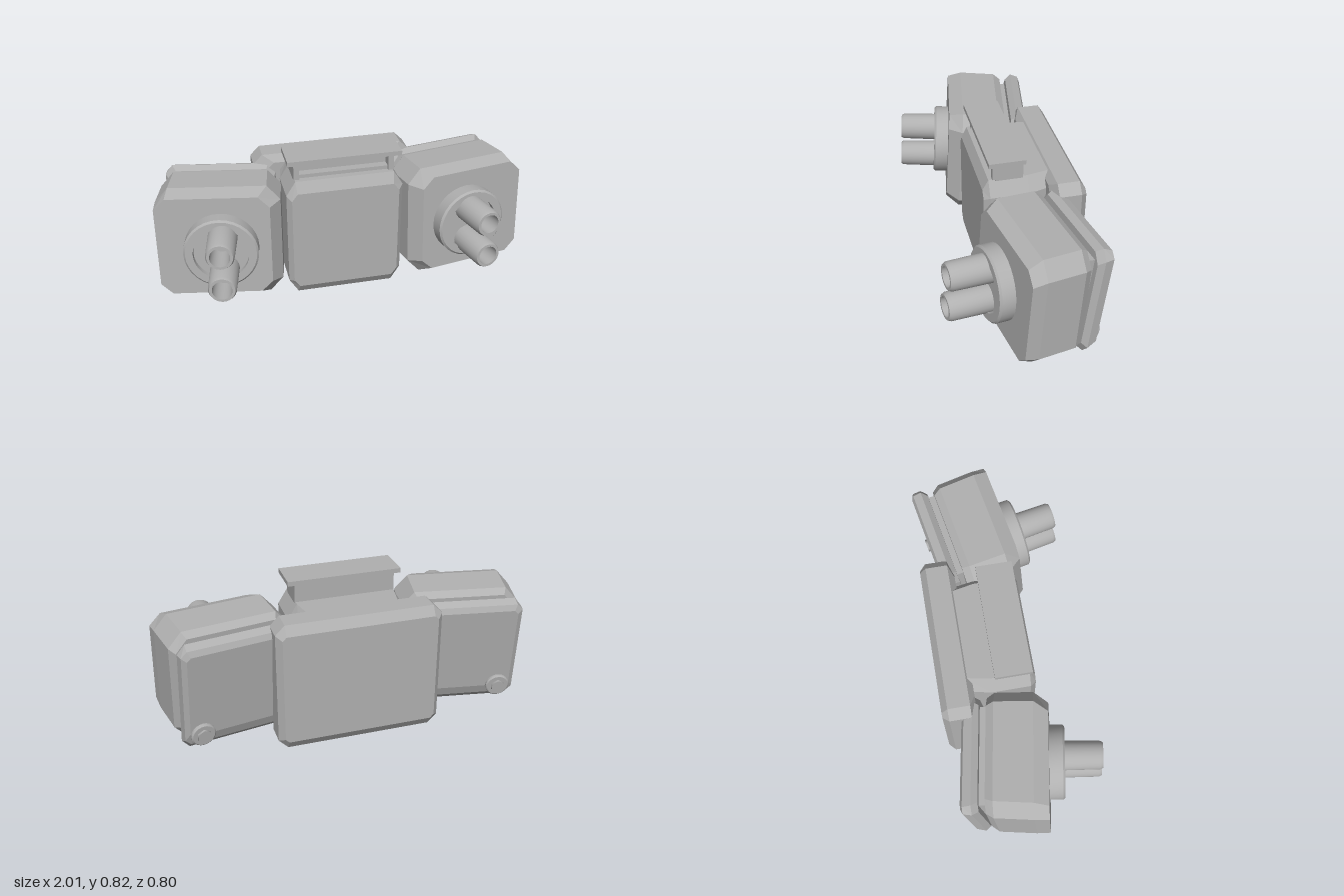
import * as THREE from 'three';
import { toCreasedNormals } from 'three/addons/utils/BufferGeometryUtils.js';

// Octagonal ring at depth z: x range, y range, corner cut in x and y
function ring([z, x0, x1, y0, y1, cx, cy]) {
  return [
    [x1, y0 + cy], [x1, y1 - cy], [x1 - cx, y1], [x0 + cx, y1],
    [x0, y1 - cy], [x0, y0 + cy], [x0 + cx, y0], [x1 - cx, y0],
  ].map(([x, y]) => [x, y, z]);
}

// Closed faceted body through octagonal sections listed from back to front
function loft(sections) {
  const rings = sections.map(ring), v = [];
  const tri = (a, b, c) => v.push(...a, ...b, ...c);
  for (let k = 0; k < rings.length - 1; k++) {
    for (let i = 0; i < 8; i++) {
      const j = (i + 1) % 8;
      const a = rings[k][i], b = rings[k][j], c = rings[k + 1][j], d = rings[k + 1][i];
      tri(a, b, c);
      tri(a, c, d);
    }
  }
  const back = rings[0], front = rings[rings.length - 1];
  for (let i = 1; i < 7; i++) {
    tri(back[0], back[i + 1], back[i]);
    tri(front[0], front[i], front[i + 1]);
  }
  const g = new THREE.BufferGeometry();
  g.setAttribute('position', new THREE.Float32BufferAttribute(v, 3));
  g.computeVertexNormals();
  return g;
}

// Swap the x range of each section for the other side
const mirror = (s, sections) => sections.map(([z, xi, xo, ...r]) =>
  s > 0 ? [z, xi, xo, ...r] : [z, -xo, -xi, ...r]);

// Turned part along +z from [radius, z] points
function turned(points, sides = 32) {
  const g = new THREE.LatheGeometry(points.map(([r, y]) => new THREE.Vector2(r, y)), sides);
  g.rotateX(Math.PI / 2);
  return toCreasedNormals(g, 0.5);
}

export function createModel() {
  const model = new THREE.Group();
  model.name = 'model';
  const grey = new THREE.MeshStandardMaterial({ color: 0xb0b0b0 });
  grey.name = 'grey';

  const add = (parent, name, geometry, x = 0, y = 0, z = 0) => {
    const m = new THREE.Mesh(geometry, grey);
    m.name = name;
    m.position.set(x, y, z);
    parent.add(m);
    return m;
  };

  // Central housing and its wider back cover
  add(model, 'centreHousing', loft([
    [-0.26, -0.29, 0.29, 0.01, 0.70, 0.05, 0.07],
    [-0.13, -0.315, 0.315, 0.01, 0.70, 0.05, 0.08],
    [0.075, -0.315, 0.315, 0.01, 0.70, 0.05, 0.08],
    [0.105, -0.29, 0.29, 0.06, 0.64, 0.03, 0.04],
  ]));
  add(model, 'backCover', loft([
    [-0.398, -0.41, 0.41, 0.05, 0.66, 0.02, 0.02],
    [-0.365, -0.44, 0.44, 0.0, 0.71, 0.05, 0.05],
    [-0.25, -0.44, 0.44, 0.0, 0.71, 0.05, 0.05],
    [-0.22, -0.38, 0.38, 0.03, 0.67, 0.05, 0.05],
  ]));

  // Top bracket: plate on a back wall with two end posts
  const box = (w, h, d) => new THREE.BoxGeometry(w, h, d);
  add(model, 'bracketPlate', box(0.61, 0.025, 0.19), 0, 0.806, -0.014);
  add(model, 'bracketWall', box(0.54, 0.12, 0.1), 0, 0.74, -0.055);
  for (const s of [-1, 1]) add(model, 'bracketPost', box(0.03, 0.1, 0.16), s * 0.255, 0.75, -0.025);
  add(model, 'bracketSill', box(0.54, 0.03, 0.14), 0, 0.705, -0.03);

  const deg = Math.PI / 180;
  for (const s of [-1, 1]) {
    const side = s > 0 ? 'left' : 'right';

    // Side pod, splayed outward and tilted slightly up
    const pod = new THREE.Group();
    pod.name = side + 'Pod';
    pod.rotation.set(-3.5 * deg, s * 10 * deg, 0, 'YXZ');
    pod.position.set(s * 0.655, 0.372, -0.04);
    model.add(pod);
    add(pod, 'podBody', loft(mirror(s, [
      [-0.16, -0.30, 0.29, -0.29, 0.29, 0.06, 0.07],
      [-0.12, -0.325, 0.315, -0.315, 0.315, 0.07, 0.08],
      [0.08, -0.325, 0.325, -0.315, 0.315, 0.07, 0.08],
      [0.155, -0.27, 0.325, -0.275, 0.285, 0.06, 0.06],
    ])));
    add(pod, 'barrelMount', turned([
      [0.195, 0.14], [0.195, 0.225], [0.185, 0.235], [0.145, 0.235], [0.145, 0.205], [0, 0.205],
    ]), s * -0.012, 0.003, 0);
    for (const t of [-1, 1]) {
      add(pod, 'barrel', turned([
        [0.077, 0.18], [0.073, 0.415], [0.066, 0.43], [0.052, 0.43], [0.048, 0.28], [0, 0.28],
      ], 24), s * -0.025, t * 0.094, 0);
    }

    // Rear cover of the pod, leaning further back
    const rear = new THREE.Group();
    rear.name = side + 'RearCover';
    rear.rotation.set(-6.5 * deg, s * 10 * deg, 0, 'YXZ');
    rear.position.set(s * 0.62, 0.35, -0.262);
    model.add(rear);
    add(rear, 'coverPlate', loft(mirror(s, [
      [-0.045, -0.28, 0.27, -0.21, 0.27, 0.02, 0.02],
      [-0.03, -0.30, 0.295, -0.265, 0.30, 0.03, 0.03],
      [0.015, -0.30, 0.30, -0.315, 0.315, 0.04, 0.05],
      [0.045, -0.29, 0.28, -0.29, 0.29, 0.04, 0.05],
    ])));
    add(rear, 'coverSpacer', box(0.5, 0.5, 0.09), 0, 0, 0.07);

    // Round bolt with a hexagonal head
    const bolt = turned([[0.065, -0.02], [0.065, 0.03], [0.058, 0.036], [0, 0.036]], 24);
    add(rear, 'boltWasher', bolt, s * 0.205, -0.205, -0.025).rotation.y = Math.PI;
    const hex = new THREE.CylinderGeometry(0.038, 0.038, 0.02, 6).rotateX(Math.PI / 2);
    add(rear, 'boltHead', hex, s * 0.205, -0.205, -0.063);
  }
  return model;
}
